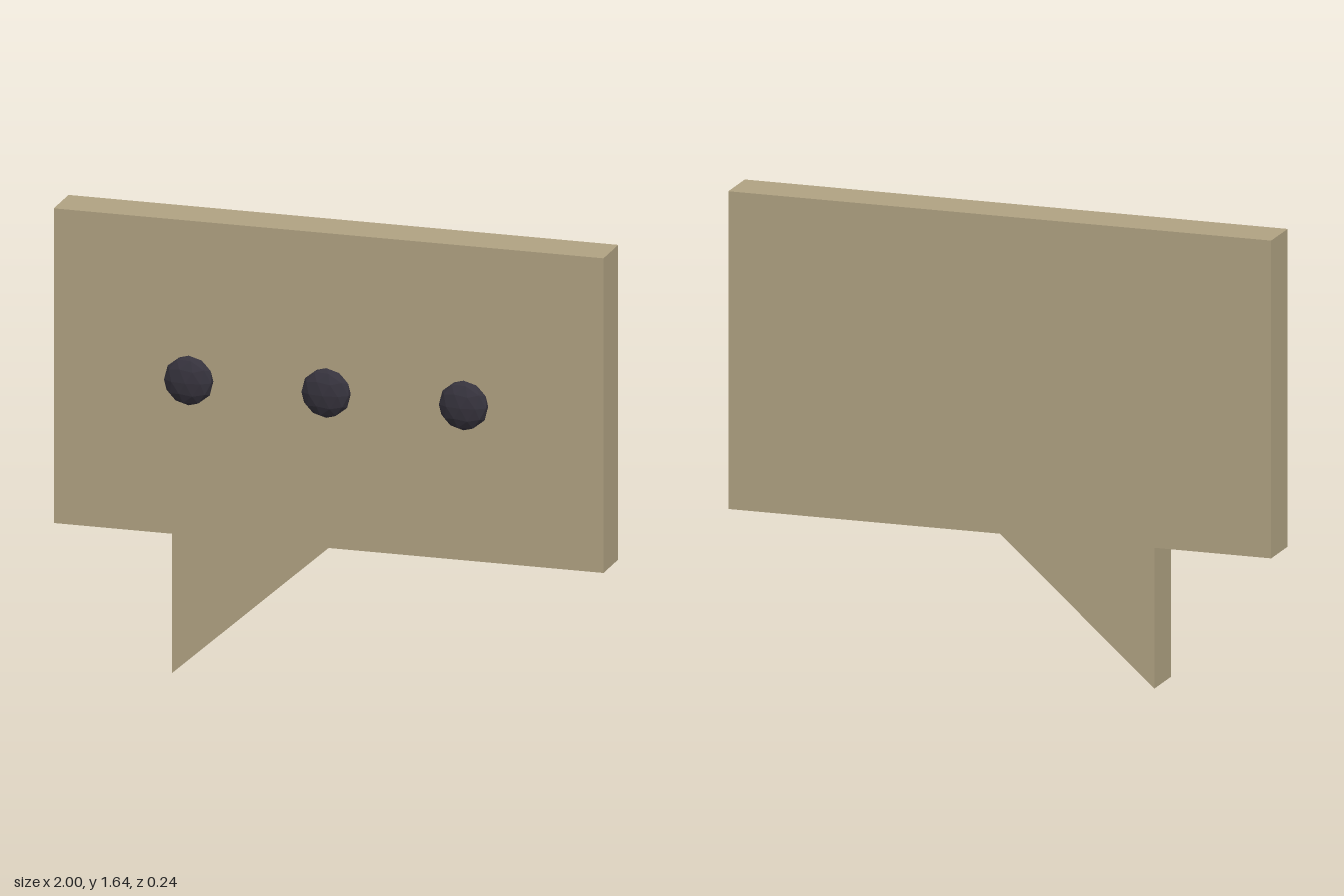
import * as THREE from 'three';

export function createModel() {
  const model = new THREE.Group();
  const panelMaterial = new THREE.MeshStandardMaterial({ color: 0xb0a282, flatShading: true });
  const dotMaterial = new THREE.MeshStandardMaterial({ color: 0x35323c, flatShading: true });

  // Flat panel with a pointed tail, extruded towards the front
  const outline = [[-1, 1.645], [-1, 0.505], [-0.57, 0.505], [-0.57, 0], [0, 0.505], [1, 0.505], [1, 1.645]];
  const shape = new THREE.Shape(outline.map(([x, y]) => new THREE.Vector2(x, y)));
  const panelGeometry = new THREE.ExtrudeGeometry(shape, { depth: 0.17, bevelEnabled: false });
  panelGeometry.translate(0, 0, -0.12);
  const panel = new THREE.Mesh(panelGeometry, panelMaterial);
  panel.name = 'speechBubble';
  model.add(panel);

  // Faceted dots, one corner pointing up, flattened front to back
  const dotGeometry = new THREE.IcosahedronGeometry(0.09, 1);
  dotGeometry.rotateZ(-Math.atan(2 / (1 + Math.sqrt(5))));
  dotGeometry.scale(1, 1, 0.47);
  dotGeometry.computeVertexNormals();
  ['rightDot', 'middleDot', 'leftDot'].forEach((name, i) => {
    const dot = new THREE.Mesh(dotGeometry, dotMaterial);
    dot.name = name;
    dot.position.set((i - 1) * 0.5, 1.075, 0.079);
    model.add(dot);
  });

  return model;
}
